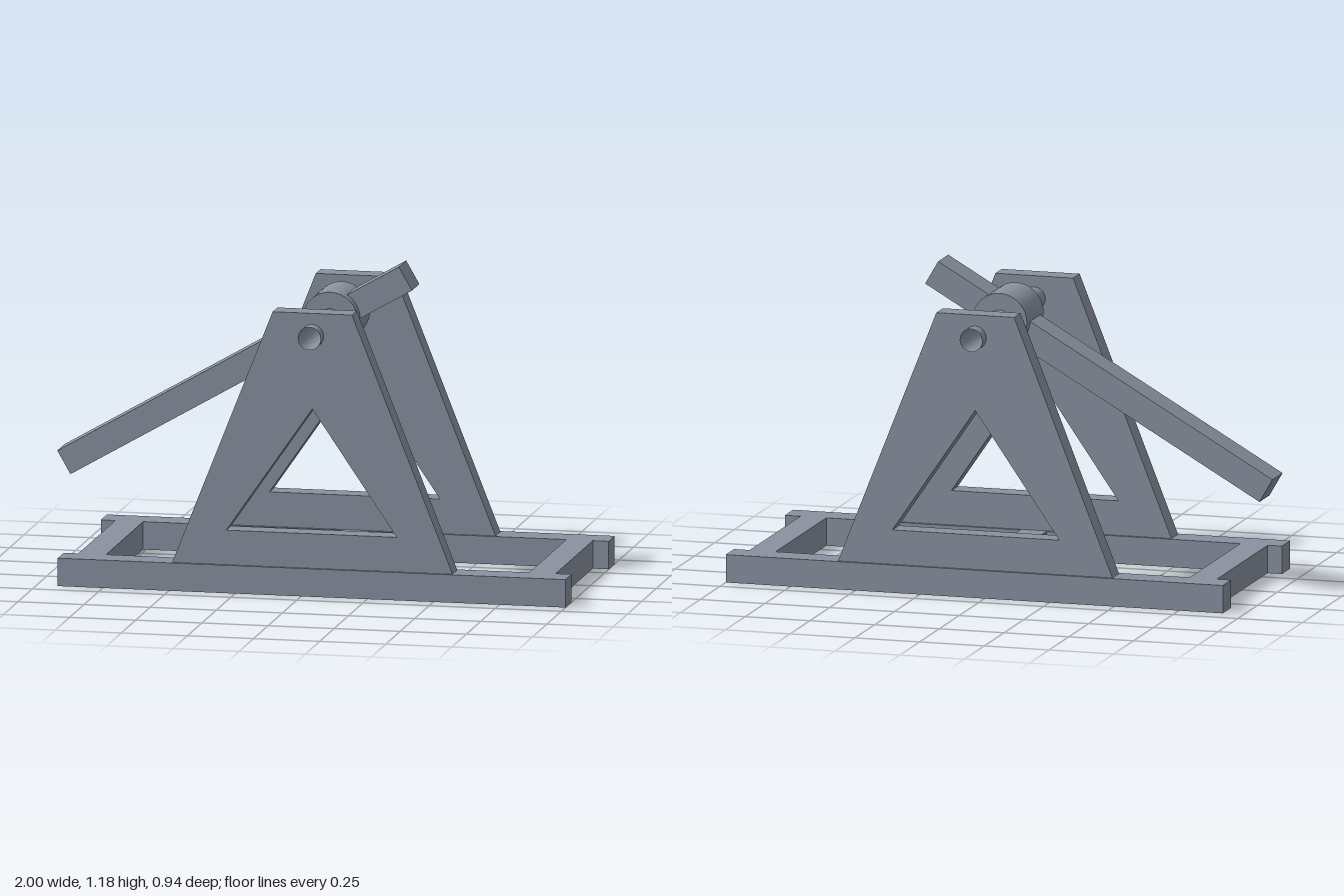
import * as THREE from 'three';

const PIVOT = { x: 0.04, y: 0.98 };
const AXLE_R = 0.043;

export function createModel() {
  const model = new THREE.Group();
  model.name = 'pivotArmFrame';
  const steel = new THREE.MeshStandardMaterial({ color: 0x8a92a0 });
  steel.name = 'blue grey';
  const steelOpen = steel.clone(); // same colour for the open tube
  steelOpen.side = THREE.DoubleSide;

  const add = (name, geometry, material = steel) => {
    const mesh = new THREE.Mesh(geometry, material);
    mesh.name = name;
    model.add(mesh);
    return mesh;
  };
  const box = (name, x0, x1, y0, y1, z0, z1) =>
    add(name, new THREE.BoxGeometry(x1 - x0, y1 - y0, z1 - z0))
      .position.set((x0 + x1) / 2, (y0 + y1) / 2, (z0 + z1) / 2);
  const polygon = (points) => new THREE.Shape(points.map(([x, y]) => new THREE.Vector2(x, y)));
  const circle = (x, y, r) => new THREE.Path().absarc(x, y, r, 0, Math.PI * 2, true);
  // Plate extruded along z and centred on its own mid plane
  const plate = (shape, depth) =>
    new THREE.ExtrudeGeometry(shape, { depth, bevelEnabled: false, curveSegments: 32 })
      .translate(0, 0, -depth / 2);

  // Base: three cross members between two long rails
  box('rearCrossMember', -0.865, -0.76, 0, 0.105, -0.322, 0.322);
  box('middleCrossMember', -0.01, 0.09, 0, 0.105, -0.322, 0.322);
  box('frontCrossMember', 0.84, 0.94, 0, 0.105, -0.322, 0.322);

  // Triangular side supports with window and axle hole
  const support = polygon([[-0.49, 0.105], [0.57, 0.105], [0.19, 1.065], [-0.11, 1.065]]);
  support.holes.push(polygon([[-0.285, 0.235], [0.04, 0.705], [0.36, 0.235]]));
  support.holes.push(circle(PIVOT.x, PIVOT.y, AXLE_R));
  const supportGeometry = plate(support, 0.083);
  for (const side of [-1, 1]) {
    const label = side > 0 ? 'front' : 'back';
    const z = side * 0.3735;
    box(label + 'Rail', -0.92, 1, 0, 0.105, z - 0.0525, z + 0.0525);
    add(label + 'Support', supportGeometry).position.z = z;
  }

  // Hollow axle
  add('axle', new THREE.CylinderGeometry(AXLE_R, AXLE_R, 0.94, 48, 1, true).rotateX(Math.PI / 2), steelOpen)
    .position.set(PIVOT.x, PIVOT.y, 0);

  // Hub sleeve around the axle: smooth wall with flat ring ends
  const hub = new THREE.Group();
  hub.name = 'hub';
  hub.position.set(PIVOT.x, PIVOT.y, 0);
  const wall = new THREE.Mesh(
    new THREE.CylinderGeometry(0.105, 0.105, 0.21, 48, 1, true).rotateX(Math.PI / 2), steel);
  wall.name = 'hubWall';
  hub.add(wall);
  for (const side of [-1, 1]) {
    const end = new THREE.Mesh(new THREE.RingGeometry(AXLE_R, 0.105, 48), steel);
    end.name = 'hubEnd';
    end.position.z = side * 0.105;
    if (side < 0) end.rotation.y = Math.PI;
    hub.add(end);
  }
  model.add(hub);

  // Tilted arm, bored through at the axle
  const armShape = polygon([[-1.173, -0.05], [0.318, -0.05], [0.318, 0.05], [-1.173, 0.05]]);
  armShape.holes.push(circle(0, 0, AXLE_R));
  const arm = add('arm', plate(armShape, 0.128));
  arm.position.set(PIVOT.x, PIVOT.y, 0);
  arm.rotation.z = Math.PI / 6;

  return model;
}
